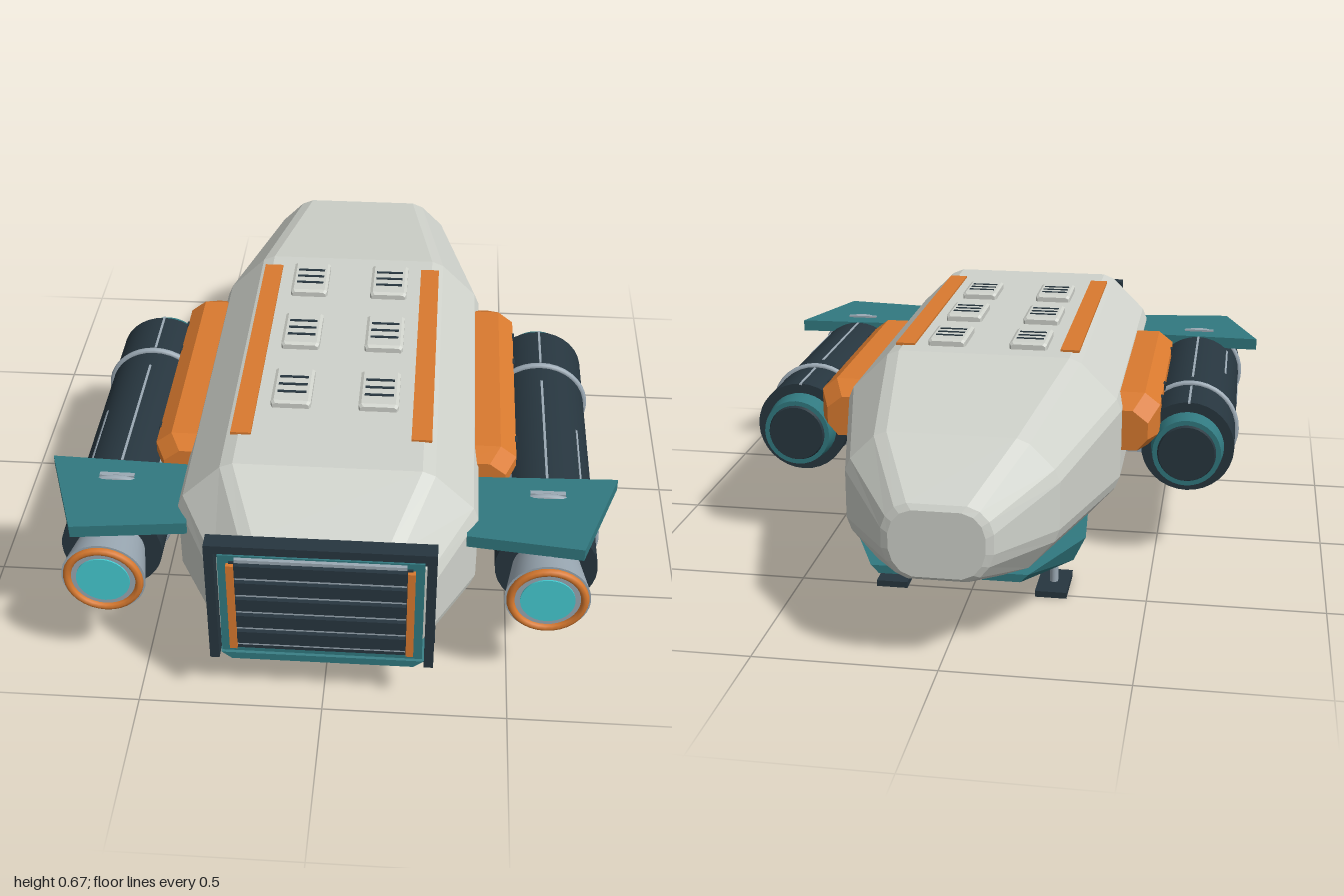
import * as THREE from 'three';

const mat = (name, color) => { const m = new THREE.MeshStandardMaterial({ color }); m.name = name; return m; };

// Flat-faced solid through counter-clockwise [x, y, z] rings, ordered by rising z
function loft(rings) {
  const pos = [], n = rings[0].length;
  const tri = (a, b, c) => pos.push(...a, ...b, ...c);
  for (let i = 0; i < rings.length - 1; i++) {
    for (let j = 0; j < n; j++) {
      const k = (j + 1) % n, p = rings[i], q = rings[i + 1];
      tri(p[j], p[k], q[k]);
      tri(p[j], q[k], q[j]);
    }
  }
  const first = rings[0], last = rings[rings.length - 1];
  for (let j = 1; j < n - 1; j++) {
    tri(first[0], first[j + 1], first[j]);
    tri(last[0], last[j], last[j + 1]);
  }
  const g = new THREE.BufferGeometry();
  g.setAttribute('position', new THREE.Float32BufferAttribute(pos, 3));
  g.computeVertexNormals();
  return g;
}

// Octagonal hull ring whose corners are cut by a narrow bevel
function hullRing([z, w, bottom, top]) {
  const cx = w * 0.67, h = top - bottom, lo = bottom + h * 0.29, hi = top - h * 0.25;
  const pts = [[w, lo], [w, hi], [cx, top], [-cx, top], [-w, hi], [-w, lo], [-cx, bottom], [cx, bottom]];
  const ring = [];
  pts.forEach((p, i) => {
    for (const o of [pts[(i + 7) % 8], pts[(i + 1) % 8]]) {
      const d = Math.hypot(o[0] - p[0], o[1] - p[1]), t = Math.min(0.02 / d, 0.25);
      ring.push([p[0] + (o[0] - p[0]) * t, p[1] + (o[1] - p[1]) * t, z]);
    }
  });
  return ring;
}

// Tapered slab ring: top is wider than the bottom
const slabRing = ([z, w, bottom, top]) =>
  [[w * 0.9, bottom, z], [w, top, z], [-w, top, z], [-w * 0.9, bottom, z]];

export function createModel() {
  const root = new THREE.Group();
  root.name = 'shuttle';
  const hullPaint = mat('hull grey', 0xcfd2cb), orange = mat('orange trim', 0xd97a2f);
  const teal = mat('teal panel', 0x317980), dark = mat('dark metal', 0x27363f);
  const steel = mat('steel', 0x9ba9b4), glow = mat('cyan glow', 0x46ccd3);

  const add = (name, geo, material, x = 0, y = 0, z = 0, parent = root) => {
    const m = new THREE.Mesh(geo, material);
    m.name = name;
    m.position.set(x, y, z);
    parent.add(m);
    return m;
  };
  const box = (name, w, h, d, material, x, y, z, parent) =>
    add(name, new THREE.BoxGeometry(w, h, d), material, x, y, z, parent);
  // Cylinder along z; r1 is the front (+z) radius
  const tube = (name, r1, r0, z0, z1, material, parent) =>
    add(name, new THREE.CylinderGeometry(r1, r0, z1 - z0, 32).rotateX(Math.PI / 2), material, 0, 0, (z0 + z1) / 2, parent);

  // Hull: z, half width, bottom, top
  add('hull', loft([
    [-1, 0.125, 0.26, 0.44], [-0.99, 0.145, 0.25, 0.455], [-0.79, 0.285, 0.195, 0.57],
    [-0.29, 0.4, 0.12, 0.643], [0.755, 0.4, 0.12, 0.643], [0.955, 0.29, 0.15, 0.565],
  ].map(hullRing)), hullPaint);

  // Teal belly plates
  add('chinPlate', loft([[-0.84, 0.21, 0.19, 0.212], [-0.55, 0.33, 0.135, 0.205], [-0.28, 0.31, 0.135, 0.19]].map(slabRing)), teal);
  add('frontSkirt', loft([[0.78, 0.31, 0.135, 0.18], [0.88, 0.29, 0.14, 0.19], [0.965, 0.27, 0.143, 0.165]].map(slabRing)), teal);

  // Front intake grille
  const grille = new THREE.Group();
  grille.name = 'grille';
  root.add(grille);
  box('frameTop', 0.59, 0.025, 0.045, dark, 0, 0.557, 0.975, grille);
  box('grillePanel', 0.53, 0.335, 0.03, teal, 0, 0.355, 0.963, grille);
  box('grilleRecess', 0.47, 0.3, 0.008, dark, 0, 0.355, 0.98, grille);
  box('grilleSurround', 0.56, 0.04, 0.02, dark, 0, 0.53, 0.96, grille);
  for (const s of [-1, 1]) {
    box('frameSide', 0.025, 0.39, 0.045, dark, s * 0.283, 0.372, 0.975, grille);
    box('grilleBar', 0.02, 0.29, 0.014, orange, s * 0.232, 0.355, 0.987, grille);
  }
  for (let i = 0; i < 6; i++) {
    const y = 0.228 + i * 0.0575;
    if (i < 5) box('slat', 0.44, 0.04, 0.016, dark, 0, y + 0.029, 0.992, grille);
    box('slatEdge', 0.44, 0.01, 0.01, steel, 0, y, 0.986, grille);
  }

  for (const s of [-1, 1]) {
    // Roof stripe and vents
    box('roofStripe', 0.055, 0.008, 0.86, orange, s * 0.242, 0.645, 0.2);
    for (const z of [-0.145, 0.138, 0.422]) {
      add('roofVent', loft([
        [-0.083, 0.05, 0, 0.016], [-0.075, 0.055, 0, 0.022], [0.075, 0.055, 0, 0.022], [0.083, 0.05, 0, 0.016],
      ].map(([rz, w, b, t]) => [[w, b, rz], [w, t - 0.005, rz], [w - 0.008, t, rz],
        [-w + 0.008, t, rz], [-w, t - 0.005, rz], [-w, b, rz]])), hullPaint, s * 0.12, 0.642, z);
      for (const dz of [-0.035, 0, 0.035])
        box('ventSlot', 0.08, 0.004, 0.009, dark, s * 0.12, 0.664, z + dz);
    }

    // Engine pylon: z, outer x, top
    const pylon = [[-0.265, 0.475, 0.485], [-0.2, 0.505, 0.522], [0.48, 0.505, 0.522], [0.54, 0.475, 0.505]].map(([z, x, top]) => {
      const ring = [[0.35, 0.365], [x - 0.03, 0.365], [x, 0.4], [x, top - 0.035], [x - 0.045, top], [0.35, top]]
        .map(([px, py]) => [s * px, py, z]);
      return s > 0 ? ring : ring.reverse();
    });
    add('pylon', loft(pylon), orange);
    for (const z of [-0.12, 0.015, 0.4])
      box('pylonBolt', 0.014, 0.022, 0.026, dark, s * 0.502, 0.478, z);
    for (const z of [-0.02, 0.42])
      box('engineStrut', 0.13, 0.09, 0.09, steel, s * 0.42, 0.335, z);

    // Engine pod
    const pod = new THREE.Group();
    pod.name = s > 0 ? 'leftEngine' : 'rightEngine';
    pod.position.set(s * 0.587, 0.347, 0);
    root.add(pod);
    tube('engineBody', 0.137, 0.137, -0.155, 0.775, dark, pod);
    tube('engineCollar', 0.108, 0.1, -0.215, -0.15, teal, pod);
    tube('engineNose', 0.088, 0.082, -0.224, -0.21, dark, pod);
    tube('nozzle', 0.113, 0.09, 0.77, 0.895, steel, pod);
    add('nozzleRing', new THREE.TorusGeometry(0.097, 0.011, 8, 32), orange, 0, 0, 0.898, pod);
    tube('nozzleInner', 0.09, 0.09, 0.88, 0.899, steel, pod);
    tube('nozzleGlow', 0.072, 0.072, 0.89, 0.903, glow, pod);
    for (const z of [0.03, 0.645])
      add('engineBand', new THREE.TorusGeometry(0.138, 0.01, 8, 36), steel, 0, 0, z, pod);
    for (let i = 0; i < 8; i++) {
      const a = i * Math.PI / 4;
      for (const [z, len] of i === 2 ? [[-0.075, 0.17], [0.335, 0.46]] : [[0.42, 0.26]]) {
        const strip = box('engineLine', 0.005, 0.007, len, steel, Math.cos(a) * 0.136, Math.sin(a) * 0.136, z, pod);
        strip.rotation.z = a;
      }
    }

    // Swept fin over the nozzle end
    const outline = new THREE.Shape([[0.36, 0.575], [0.78, 0.56], [0.675, 0.855], [0.37, 0.82]]
      .map(([x, z]) => new THREE.Vector2(s * x, -z)));
    const fin = new THREE.ExtrudeGeometry(outline, { depth: 0.036, bevelEnabled: false }).rotateX(-Math.PI / 2);
    add('fin', fin, teal, 0, 0.45, 0);
    box('finMarker', 0.095, 0.008, 0.014, steel, s * 0.587, 0.488, 0.635);

    // Landing legs
    for (const [x, z, dir] of [[0.255, 0.65, -1], [0.23, -0.44, -1]]) {
      const leg = new THREE.Group();
      leg.name = 'landingLeg';
      leg.position.set(s * x, 0, z);
      root.add(leg);
      box('foot', 0.09, 0.018, 0.16, dark, 0, 0.009, 0, leg);
      add('strut', new THREE.CylinderGeometry(0.012, 0.012, 0.13, 12), steel, 0, 0.078, 0, leg);
      const brace = add('brace', new THREE.CylinderGeometry(0.006, 0.006, 0.085, 8), dark, 0, 0.1, dir * 0.024, leg);
      brace.rotation.x = dir * 0.6;
      box('legMount', 0.06, 0.02, 0.08, dark, 0, 0.128, dir * 0.02, leg);
    }
  }
  return root;
}
